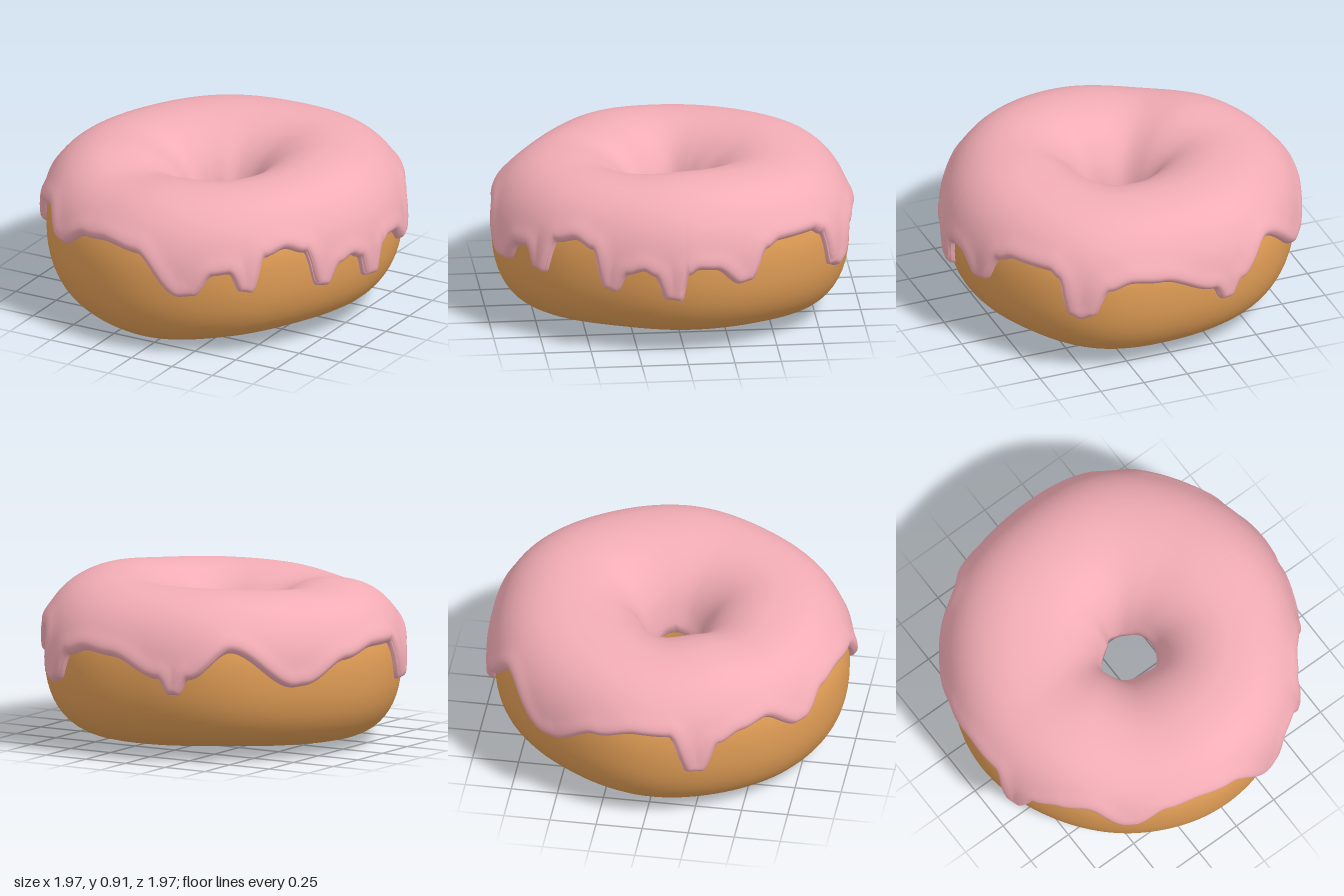
import * as THREE from 'three';

const DEG = Math.PI / 180;

// Smooth periodic curve through evenly spaced values; angle 0 = front, 90 = +x
function ring(values) {
  const n = values.length;
  return (a) => {
    const u = ((((a / (2 * Math.PI)) % 1) + 1) % 1) * n;
    const i = Math.floor(u), t = u - i;
    const [p, q, r, s] = [-1, 0, 1, 2].map((k) => values[(i + k + n) % n]);
    return q + 0.5 * t * (r - p + t * (2 * p - 5 * q + 4 * r - s + t * (3 * (q - r) + s - p)));
  };
}

// Uneven outline of the dough, one value every 30 degrees
const outer = ring([0.975, 0.955, 0.925, 0.945, 0.955, 0.98, 0.93, 0.945, 0.935, 0.965, 0.955, 0.96]);
const inner = ring([0.2, 0.235, 0.225, 0.19, 0.17, 0.165, 0.155, 0.13, 0.145, 0.18, 0.19, 0.195]);
const top = ring([0.825, 0.84, 0.855, 0.878, 0.872, 0.862, 0.86, 0.855, 0.842, 0.828, 0.835, 0.798]);
const bottom = ring([0.005, 0.05, 0.08, 0.08, 0.07, 0.05, 0.05, 0.06, 0.05, 0.04, 0.025, 0.008]);

const signedPow = (v, p) => Math.sign(v) * Math.pow(Math.abs(v), p);
const Y_POW = 0.9;

// Point [radius, height] of the rounded cross-section; phi 0 = outside, 90 = top
function section(a, phi) {
  const c = Math.cos(phi), s = Math.sin(phi);
  const ro = outer(a), ri = inner(a), yt = top(a), yb = bottom(a);
  // The outside is fuller below than above
  const power = c < 0 ? 1 : s > 0 ? 0.85 : 0.72;
  return [
    (ro + ri) / 2 + ((ro - ri) / 2) * signedPow(c, power),
    (yt + yb) / 2 + ((yt - yb) / 2) * signedPow(s, Y_POW),
  ];
}

// Dough surface pushed out by a thickness along the section normal
function surface(a, phi, thick) {
  const [r, y] = section(a, phi);
  const p = section(a, phi - 0.03), q = section(a, phi + 0.03);
  const dr = q[0] - p[0], dy = q[1] - p[1], len = Math.hypot(dr, dy);
  const R = r + (dy / len) * thick;
  return [R * Math.sin(a), y - (dr / len) * thick, R * Math.cos(a)];
}

// Indexed grid, closed around the ring and optionally around the section
function sweep(cols, rows, closed, point) {
  const pos = [], idx = [], n = closed ? rows : rows + 1;
  for (let i = 0; i < cols; i++) for (let j = 0; j < n; j++) pos.push(...point(i, j));
  for (let i = 0; i < cols; i++) {
    for (let j = 0; j < rows; j++) {
      const k = (i + 1) % cols, m = (j + 1) % n;
      const a = i * n + j, b = k * n + j, c = k * n + m, d = i * n + m;
      idx.push(a, b, c, a, c, d);
    }
  }
  const g = new THREE.BufferGeometry();
  g.setAttribute('position', new THREE.Float32BufferAttribute(pos, 3));
  g.setIndex(idx);
  g.computeVertexNormals();
  return g;
}

// Icing hem: [angle in degrees, height] of the drip tips and the gaps between
const HEM = [
  [0, 0.595], [15, 0.39], [20, 0.4], [26, 0.515], [31, 0.525], [34.5, 0.425], [38.5, 0.415],
  [43, 0.6], [50, 0.63], [57, 0.595], [61.5, 0.395], [65.5, 0.385], [70, 0.49], [75, 0.515],
  [78.5, 0.49], [82, 0.365], [87.5, 0.355], [89.5, 0.5], [93, 0.53], [98, 0.525], [106, 0.435],
  [110, 0.445], [116, 0.6], [121, 0.63], [135, 0.63], [138.5, 0.6], [142, 0.41], [146, 0.385],
  [150, 0.41], [155, 0.555], [162, 0.59], [172, 0.575], [190, 0.475], [193.5, 0.395],
  [197, 0.395], [200.5, 0.48], [214, 0.625], [235, 0.43], [239, 0.435], [255, 0.55], [268, 0.595],
  [279, 0.59], [285, 0.38], [290, 0.375], [295, 0.53], [303, 0.575], [312, 0.6], [324, 0.495],
  [327, 0.495], [338, 0.59], [348, 0.61], [360, 0.595],
];

function hem(deg) {
  const i = HEM.findIndex((p) => deg < p[0]);
  const [a, b] = [HEM[i - 1], HEM[i]];
  return THREE.MathUtils.lerp(a[1], b[1], THREE.MathUtils.smoothstep(deg, a[0], b[0])) - 0.012;
}

function icingGeometry() {
  const cols = 720, rows = 60, step = 360 / cols;
  const hems = Array.from({ length: cols }, (_, i) => hem(i * step));
  const thickness = 0.036, sunk = 0.008, rim = 0.035;
  return sweep(cols, rows, false, (i, j) => {
    const a = i * step * DEG;
    const yc = (top(a) + bottom(a)) / 2, ry = (top(a) - bottom(a)) / 2;
    const start = Math.asin(signedPow((hems[i] - yc) / ry, 1 / Y_POW));
    const end = Math.PI + 0.12 + 0.06 * Math.sin(3 * a);
    // Rows gather towards the hem
    const phi = start + (end - start) * Math.pow(j / rows, 1.6);
    const y = section(a, phi)[1];
    // Distance to the nearest point of the hem rounds the drips on every side
    let d = (end - phi) * 0.35;
    if (phi < Math.PI / 2) {
      for (let k = -18; k <= 18; k++) {
        const h = hems[(i + k + cols) % cols];
        d = Math.min(d, Math.hypot(k * step * DEG * 0.95, Math.max(0, y - h)));
      }
    }
    const t = Math.min(1, Math.max(0, d / rim));
    // Icing gathers in a soft bead just above the hem
    const bead = 0.01 * Math.exp(-(((d - 0.045) / 0.045) ** 2));
    return surface(a, phi, (thickness + sunk + bead) * Math.sqrt(1 - (1 - t) ** 2) - sunk);
  });
}

export function createModel() {
  const group = new THREE.Group();
  group.name = 'icedDoughnut';

  // Dough ring
  const dough = new THREE.Mesh(
    sweep(160, 56, true, (i, j) => surface((i / 160) * 2 * Math.PI, (j / 56) * 2 * Math.PI, 0)),
    new THREE.MeshStandardMaterial({ color: 0xdf9c55 }),
  );
  dough.name = 'dough';

  // Dripping icing
  const icing = new THREE.Mesh(
    icingGeometry(),
    new THREE.MeshStandardMaterial({ color: 0xf2acb5, side: THREE.DoubleSide }),
  );
  icing.name = 'icing';
  group.add(dough, icing);

  // Centre on the ground
  const box = new THREE.Box3().setFromObject(group);
  const mid = box.getCenter(new THREE.Vector3());
  for (const m of group.children) m.geometry.translate(-mid.x, -box.min.y, -mid.z);
  return group;
}
